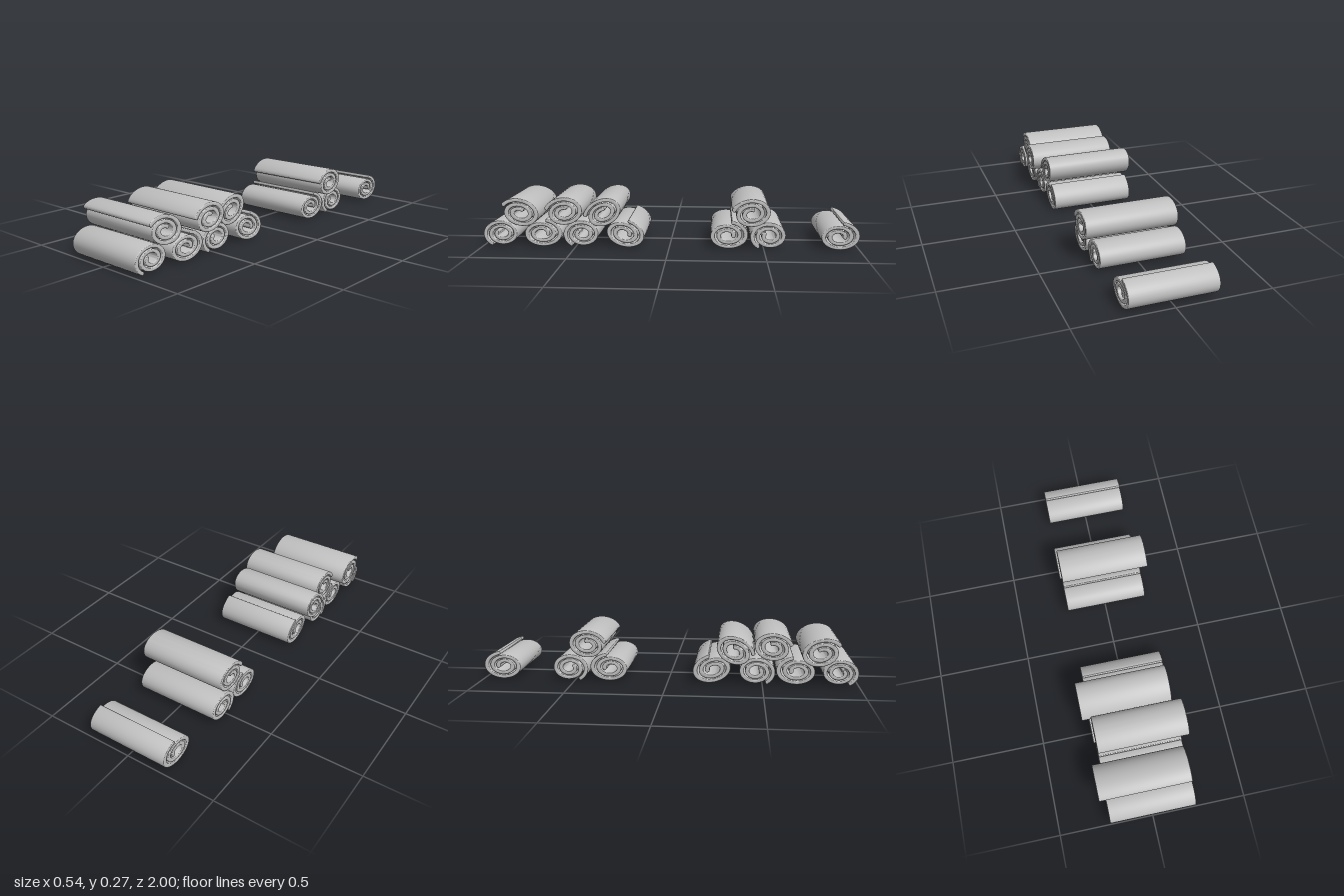
import * as THREE from 'three';
import { toCreasedNormals } from 'three/addons/utils/BufferGeometryUtils.js';

const TURNS = 2.25, STEPS = 100, BEVEL = 0.004;

// Outline of a flattened spiral sheet; u points to -z, y is up.
function spiralOutline(tail, tilt) {
  const point = (t) => {
    const a = THREE.MathUtils.degToRad(tail) - t * TURNS * Math.PI * 2;
    const rx = THREE.MathUtils.lerp(0.104, 0.03, t), ry = THREE.MathUtils.lerp(0.069, 0.02, t);
    return new THREE.Vector2(rx * Math.cos(a), ry * Math.sin(a));
  };
  const outer = [], inner = [], tips = [[], []];
  for (let i = 0; i <= STEPS; i++) {
    const t = i / STEPS, p = point(t);
    const dir = point(t + 0.0005).sub(point(t - 0.0005)).normalize();
    const n = new THREE.Vector2(-dir.y, dir.x);
    const half = 0.009 + 0.003 * n.x * n.x;
    outer.push(p.clone().addScaledVector(n, half));
    inner.push(p.clone().addScaledVector(n, -half));
    // rounded lips at both ends of the sheet
    if (i === 0 || i === STEPS) {
      const s = i === 0 ? -1 : 1;
      for (let k = 1; k < 6; k++) {
        const b = k * Math.PI / 6;
        tips[i ? 1 : 0].push(p.clone()
          .addScaledVector(n, s * half * Math.cos(b))
          .addScaledVector(dir, s * half * 0.7 * Math.sin(b)));
      }
    }
  }
  const pts = [...outer, ...tips[1], ...inner.reverse(), ...tips[0]];
  const origin = new THREE.Vector2();
  return pts.map((p) => p.rotateAround(origin, THREE.MathUtils.degToRad(tilt)));
}

// One roll, fitted to its bounds in z and y and running from x0 to x1.
function makeRoll({ z, y, x, tail, tilt = 0 }, material) {
  const pts = spiralOutline(tail, tilt);
  const box = new THREE.Box2().setFromPoints(pts);
  const size = box.getSize(new THREE.Vector2());
  for (const p of pts) {
    p.x = -z[1] + (p.x - box.min.x) / size.x * (z[1] - z[0]);
    p.y = y[0] + (p.y - box.min.y) / size.y * (y[1] - y[0]);
  }
  const geo = new THREE.ExtrudeGeometry(new THREE.Shape(pts), {
    depth: x[1] - x[0] - 2 * BEVEL, bevelEnabled: true, bevelThickness: BEVEL,
    bevelSize: BEVEL, bevelOffset: -BEVEL, bevelSegments: 3, steps: 1,
  });
  geo.translate(0, 0, x[0] + BEVEL);
  geo.rotateY(Math.PI / 2);
  return new THREE.Mesh(toCreasedNormals(geo, 0.65), material);
}

export function createModel() {
  const grey = new THREE.MeshStandardMaterial({ color: 0xc0c0c0 });
  grey.name = 'light grey';
  const model = new THREE.Group();
  model.name = 'stackedRolls';

  // tail is the angle where the loose outer edge ends
  const lower = [
    { z: [0.815, 1], y: [0, 0.137], x: [-0.23, 0.23], tail: 235 },
    { z: [0.572, 0.775], y: [0, 0.149], x: [-0.222, 0.23], tail: 76 },
    { z: [0.38, 0.567], y: [0, 0.14], x: [-0.232, 0.225], tail: 233 },
    { z: [0.133, 0.333], y: [0, 0.149], x: [-0.222, 0.23], tail: 84, tilt: -14 },
    { z: [-0.417, -0.218], y: [0, 0.149], x: [-0.222, 0.23], tail: 76 },
    { z: [-0.615, -0.428], y: [0, 0.14], x: [-0.232, 0.225], tail: 233 },
    { z: [-1, -0.8], y: [0, 0.149], x: [-0.222, 0.23], tail: 77 },
  ];
  const upper = [
    { z: [0.702, 0.9], y: [0.107, 0.256], x: [-0.267, 0.222], tail: 157, tilt: -10 },
    { z: [0.458, 0.658], y: [0.125, 0.271], x: [-0.222, 0.267], tail: 157, tilt: 6 },
    { z: [0.26, 0.46], y: [0.11, 0.262], x: [-0.27, 0.222], tail: 160, tilt: 20 },
    { z: [-0.53, -0.33], y: [0.125, 0.271], x: [-0.222, 0.267], tail: 157, tilt: 6 },
  ];
  for (const [label, rolls] of [['lowerRoll', lower], ['upperRoll', upper]]) {
    rolls.forEach((r, i) => {
      const mesh = makeRoll(r, grey);
      mesh.name = label + (i + 1);
      model.add(mesh);
    });
  }
  return model;
}
